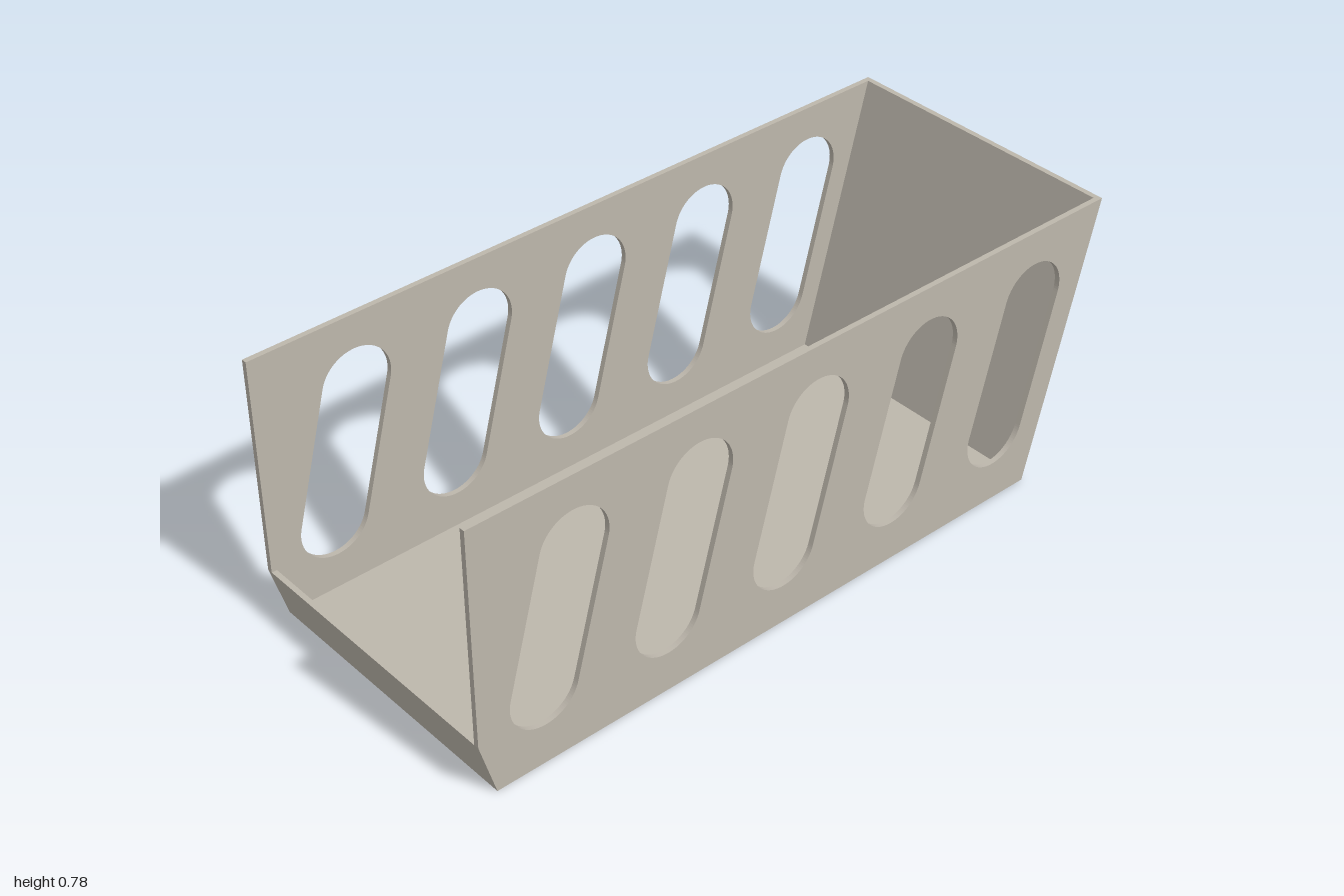
import * as THREE from 'three';

export function createModel() {
  const model = new THREE.Group();
  model.name = 'slottedBin';
  const plastic = new THREE.MeshStandardMaterial({ color: 0xbdb7ac });
  plastic.name = 'warm grey';

  const wall = 0.015, halfDepth = 0.415;
  const polygon = (pts) => new THREE.Shape(pts.map(([x, y]) => new THREE.Vector2(x, y)));

  function addExtrusion(name, shape, depth, z) {
    const geometry = new THREE.ExtrudeGeometry(shape, { depth, bevelEnabled: false, curveSegments: 24 });
    const mesh = new THREE.Mesh(geometry, plastic);
    mesh.name = name;
    mesh.position.z = z;
    model.add(mesh);
  }

  // Side panel outline, with five slanted slots
  const panel = polygon([[-0.955, 0], [0.79, 0], [1, 0.78], [-1, 0.78], [-1, 0.16]]);
  const radius = 0.1, lean = Math.atan2(0.37, 0.099), quarter = Math.PI / 2;
  for (let i = 0; i < 5; i++) {
    const x = -0.808 + i * 0.3685;
    const slot = new THREE.Path();
    slot.absarc(x + 0.099, 0.585, radius, lean - quarter, lean + quarter, false);
    slot.absarc(x, 0.215, radius, lean + quarter, lean + 3 * quarter, false);
    slot.closePath();
    panel.holes.push(slot);
  }
  addExtrusion('frontPanel', panel, wall, halfDepth - wall);
  addExtrusion('backPanel', panel, wall, -halfDepth);

  // Low lip, floor and sloping end wall folded from one sheet
  const tray = polygon([
    [-0.955, 0], [0.79, 0], [1, 0.78], [0.985, 0.78],
    [0.778, wall], [-0.944, wall], [-0.985, 0.16], [-1, 0.16],
  ]);
  addExtrusion('floorAndEnds', tray, 2 * (halfDepth - wall), -(halfDepth - wall));

  return model;
}
